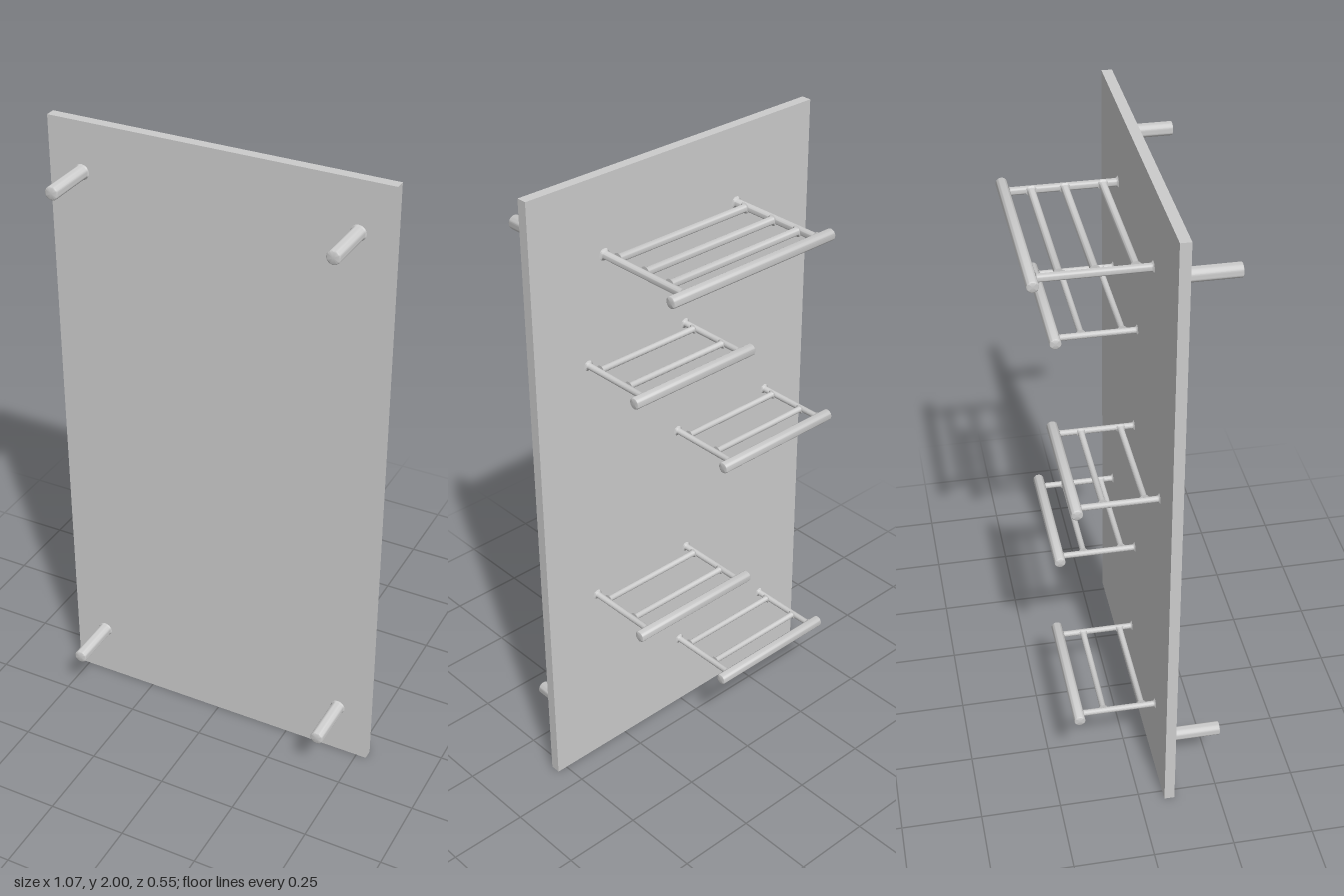
import * as THREE from 'three';
import { toCreasedNormals } from 'three/addons/utils/BufferGeometryUtils.js';

const material = new THREE.MeshStandardMaterial({ color: 0xcccccc });
const PANEL_BACK = 0.078, PANEL_FRONT = 0.11;

// Round rod between two points; each end is flared (f > 0) or eased (f < 0) by f
function rod(name, from, to, radius, startFlare, endFlare) {
  const a = new THREE.Vector3(...from), b = new THREE.Vector3(...to);
  const length = a.distanceTo(b);
  const end = (f) => [0, 0.35, 0.7, 1].map((t) => {
    const s = f > 0 ? (1 - t) ** 2 : 1 - Math.sqrt(1 - (1 - t) ** 2);
    return [radius + f * s, Math.abs(f) * t];
  });
  const points = [[0, 0], ...end(startFlare),
    ...end(endFlare).reverse().map(([r, y]) => [r, length - y]), [0, length]];
  const profile = points.map(([r, y]) => new THREE.Vector2(r, y));
  const geometry = toCreasedNormals(new THREE.LatheGeometry(profile, 28), 0.7);
  const mesh = new THREE.Mesh(geometry, material);
  mesh.name = name;
  mesh.position.copy(a);
  mesh.quaternion.setFromUnitVectors(new THREE.Vector3(0, 1, 0), b.sub(a).normalize());
  return mesh;
}

// Shelf rack: two arms from the panel, cross rods between them and a thick outer rail
function rack(name, { arms, rail, railZ, rods, radius }) {
  const group = new THREE.Group();
  group.name = name;
  const railRadius = 0.0175;
  for (const x of arms) {
    group.add(rod('arm', [x, 0, PANEL_BACK + 0.001], [x, 0, railZ + railRadius * 0.85], radius, 0.008, 0.004));
  }
  for (const z of rods) {
    const inset = radius * 0.8;
    group.add(rod('crossRod', [arms[0] + inset, 0, z], [arms[1] - inset, 0, z], radius, 0.005, 0.005));
  }
  group.add(rod('outerRail', [rail[0], 0, railZ], [rail[1], 0, railZ], railRadius, -0.003, -0.003));
  return group;
}

export function createModel() {
  const model = new THREE.Group();
  model.name = 'wallRackPanel';

  // Upright panel
  const panel = new THREE.Mesh(new THREE.BoxGeometry(1.066, 2, PANEL_FRONT - PANEL_BACK), material);
  panel.name = 'panel';
  panel.position.set(0, 1, (PANEL_FRONT + PANEL_BACK) / 2);
  model.add(panel);

  // Four pegs on the front corners
  for (const x of [-0.428, 0.428]) {
    for (const y of [0.175, 1.845]) {
      model.add(rod('mountingPeg', [x, y, PANEL_FRONT - 0.001], [x, y, 0.273], 0.021, 0.005, -0.003));
    }
  }

  // Wide top rack
  const topRack = rack('topRack', {
    arms: [-0.233, 0.272], rail: [-0.281, 0.331], railZ: -0.259, rods: [0.032, -0.081, -0.18], radius: 0.012,
  });
  topRack.position.y = 1.763;
  model.add(topRack);

  // Smaller racks staggered from side to side
  [[1.437, 0.17], [1.075, -0.17], [0.622, 0.17], [0.26, -0.17]].forEach(([y, x]) => {
    const small = rack('smallRack', {
      arms: [-0.199, 0.173], rail: [-0.234, 0.217], railZ: -0.168, rods: [0.035, -0.087], radius: 0.0095,
    });
    small.position.set(x, y, 0);
    model.add(small);
  });

  return model;
}
